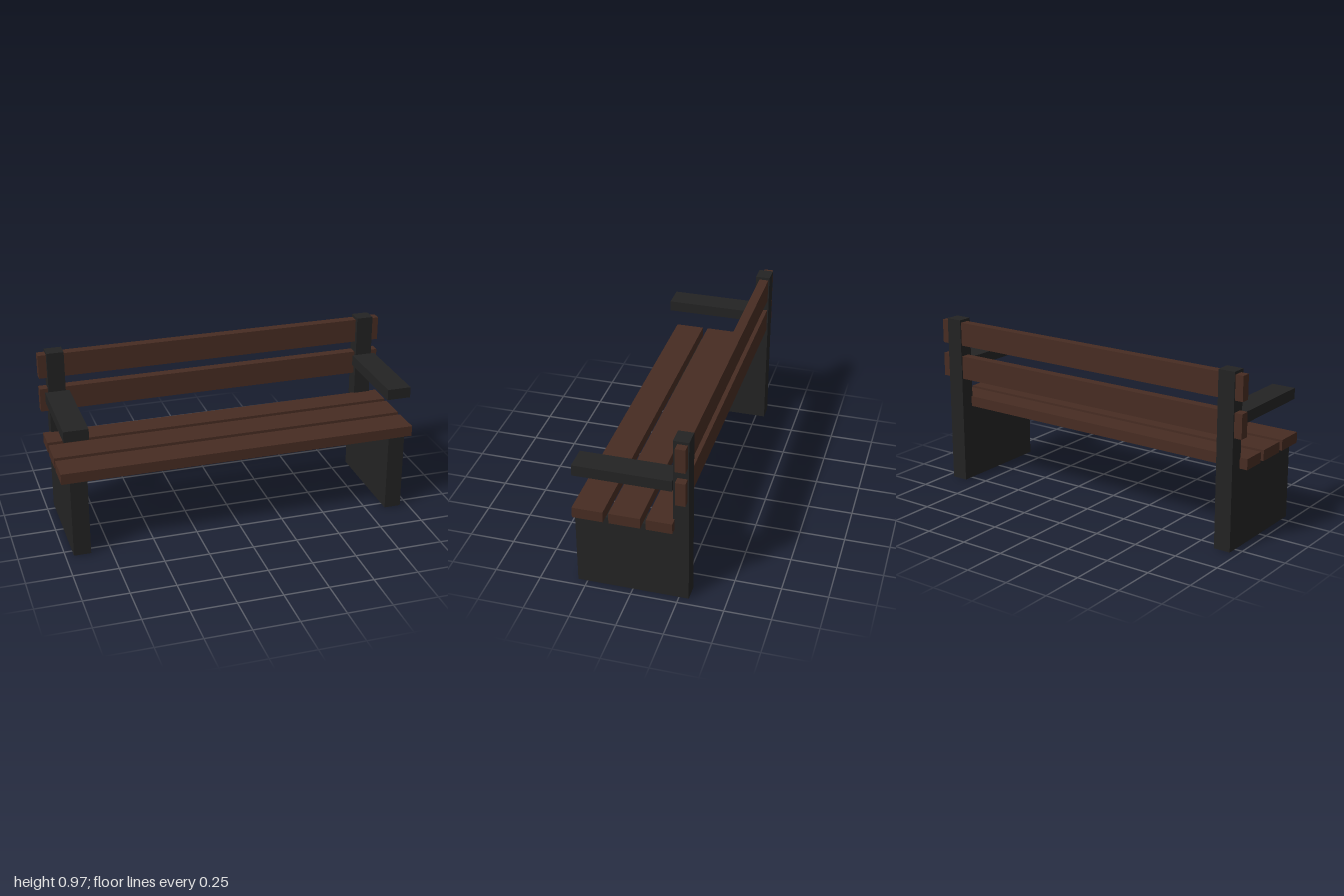
import * as THREE from 'three';

export function createModel() {
  const bench = new THREE.Group();
  bench.name = 'bench';

  const wood = new THREE.MeshStandardMaterial({ color: 0x472c22 });
  wood.name = 'dark brown wood';
  const metal = new THREE.MeshStandardMaterial({ color: 0x232323 });
  metal.name = 'charcoal';

  // Box given by its [min, max] extent on each axis
  function addBox(name, material, [x0, x1], [y0, y1], [z0, z1]) {
    const mesh = new THREE.Mesh(new THREE.BoxGeometry(x1 - x0, y1 - y0, z1 - z0), material);
    mesh.position.set((x0 + x1) / 2, (y0 + y1) / 2, (z0 + z1) / 2);
    mesh.name = name;
    bench.add(mesh);
  }

  // Seat slats, front to back
  [[0.137, 0.302], [-0.06, 0.107], [-0.228, -0.09]].forEach((z, i) =>
    addBox(`seatSlat${i + 1}`, wood, [-1, 1], [0.44, 0.5], z));

  // Backrest slats, set into the posts
  [[0.622, 0.756], [0.82, 0.955]].forEach((y, i) =>
    addBox(`backSlat${i + 1}`, wood, [-1, 1], y, [-0.295, -0.242]));

  // End supports: leg panel, back post and armrest on each side
  for (const [side, s] of [['left', 1], ['right', -1]]) {
    const span = (a, b) => (s > 0 ? [a, b] : [-b, -a]);
    addBox(`${side}LegPanel`, metal, span(0.86, 0.955), [0, 0.44], [-0.22, 0.302]);
    addBox(`${side}BackPost`, metal, span(0.86, 0.955), [0, 0.97], [-0.302, -0.22]);
    addBox(`${side}Armrest`, metal, span(0.84, 0.975), [0.682, 0.743], [-0.22, 0.302]);
  }

  return bench;
}
